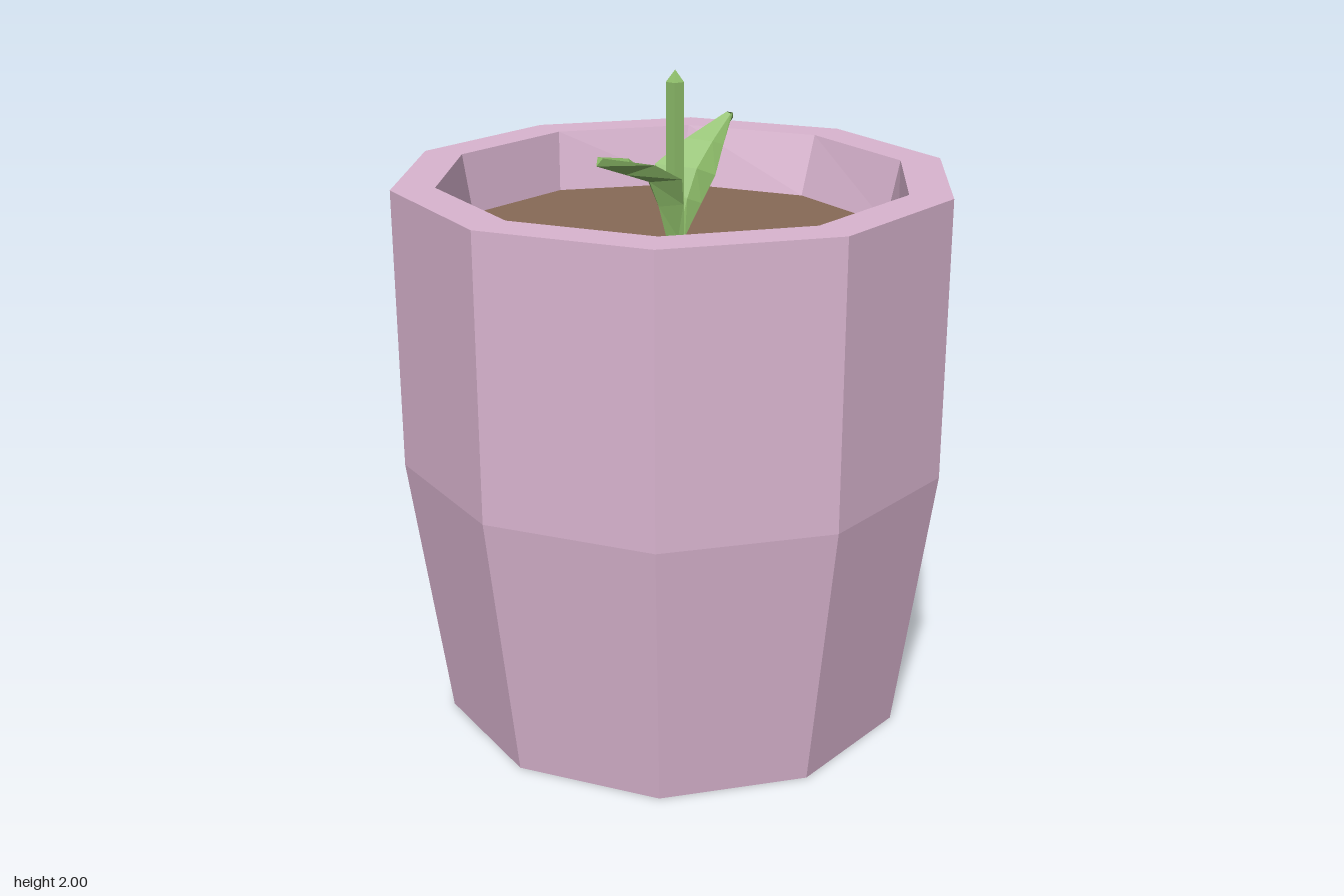
import * as THREE from 'three';

const SOIL_Y = 1.5;

function material(name, color) {
  const m = new THREE.MeshStandardMaterial({ color });
  m.name = name;
  return m;
}

// Facets a geometry and wraps it in a named mesh
function facetedMesh(name, geometry, mat) {
  const g = geometry.index ? geometry.toNonIndexed() : geometry;
  g.computeVertexNormals();
  const mesh = new THREE.Mesh(g, mat);
  mesh.name = name;
  return mesh;
}

function lathe(profile, sides) {
  const points = profile.map(([r, y]) => new THREE.Vector2(r, y));
  return new THREE.LatheGeometry(points, sides, Math.PI / 2);
}

// Folded leaf growing along +x; each section is [keelX, keelY, edgeX, edgeY, halfWidth]
function leafGeometry(sections, thickness = 0.018) {
  const positions = [];
  const index = [];
  for (const [kx, ky, ex, ey, w] of sections) {
    const t = thickness / Math.hypot(ex - kx, ey - ky);
    positions.push(
      ex, ey, w,
      kx + (ex - kx) * t, ky + (ey - ky) * t, 0,
      ex, ey, -w,
      kx, ky, 0
    );
  }
  for (let i = 0; i < sections.length - 1; i++) {
    for (let j = 0; j < 4; j++) {
      const a = i * 4 + j;
      const b = i * 4 + (j + 1) % 4;
      index.push(a, a + 4, b + 4, a, b + 4, b);
    }
  }
  // Blunt tip
  const e = (sections.length - 1) * 4;
  index.push(e, e + 3, e + 2, e, e + 2, e + 1);
  const g = new THREE.BufferGeometry();
  g.setAttribute('position', new THREE.Float32BufferAttribute(positions, 3));
  g.setIndex(index);
  return g;
}

export function createModel() {
  const model = new THREE.Group();
  model.name = 'pottedSprout';
  const potPink = material('potPink', 0xdab5d0);
  const soilBrown = material('soilBrown', 0x886a57);
  const leafGreen = material('leafGreen', 0x8dbc69);

  // Ten-sided pot with a thick rim; its inner wall narrows more in x than in z
  const pot = lathe([
    [0, 0], [0.73, 0], [0.845, 0.84], [0.845, 1.69], [0.715, 1.69], [0.65, SOIL_Y]
  ], 10);
  const p = pot.attributes.position;
  for (let i = 0; i < p.count; i++) {
    if (Math.abs(p.getY(i) - SOIL_Y) < 0.001) p.setZ(i, p.getZ(i) * 0.695 / 0.65);
  }
  model.add(facetedMesh('pot', pot, potPink));

  // Soil surface
  const soil = new THREE.CircleGeometry(1, 10);
  soil.rotateX(-Math.PI / 2).scale(0.65, 1, 0.695).translate(0, SOIL_Y, 0);
  model.add(facetedMesh('soil', soil, soilBrown));

  // Sprout: pointed stem and two leaves
  const sprout = new THREE.Group();
  sprout.name = 'sprout';
  const stem = lathe([[0.028, SOIL_Y], [0.028, 1.965], [0, 2]], 5);
  sprout.add(facetedMesh('stem', stem, leafGreen));

  const leftLeaf = leafGeometry([
    [0.035, 1.5, 0.01, 1.5, 0.03],
    [0.075, 1.6, 0.02, 1.61, 0.085],
    [0.12, 1.685, 0.045, 1.695, 0.117],
    [0.195, 1.755, 0.14, 1.765, 0.072],
    [0.278, 1.815, 0.262, 1.835, 0.012]
  ]);
  sprout.add(facetedMesh('leftLeaf', leftLeaf, leafGreen));

  const rightLeaf = facetedMesh('rightLeaf', leafGeometry([
    [0.035, 1.5, 0.01, 1.5, 0.025],
    [0.065, 1.6, 0.02, 1.61, 0.06],
    [0.1, 1.68, 0.05, 1.695, 0.088],
    [0.19, 1.715, 0.13, 1.745, 0.06],
    [0.3, 1.757, 0.285, 1.78, 0.012]
  ]), leafGreen);
  rightLeaf.rotation.y = Math.PI - 0.16;
  sprout.add(rightLeaf);
  model.add(sprout);

  return model;
}
